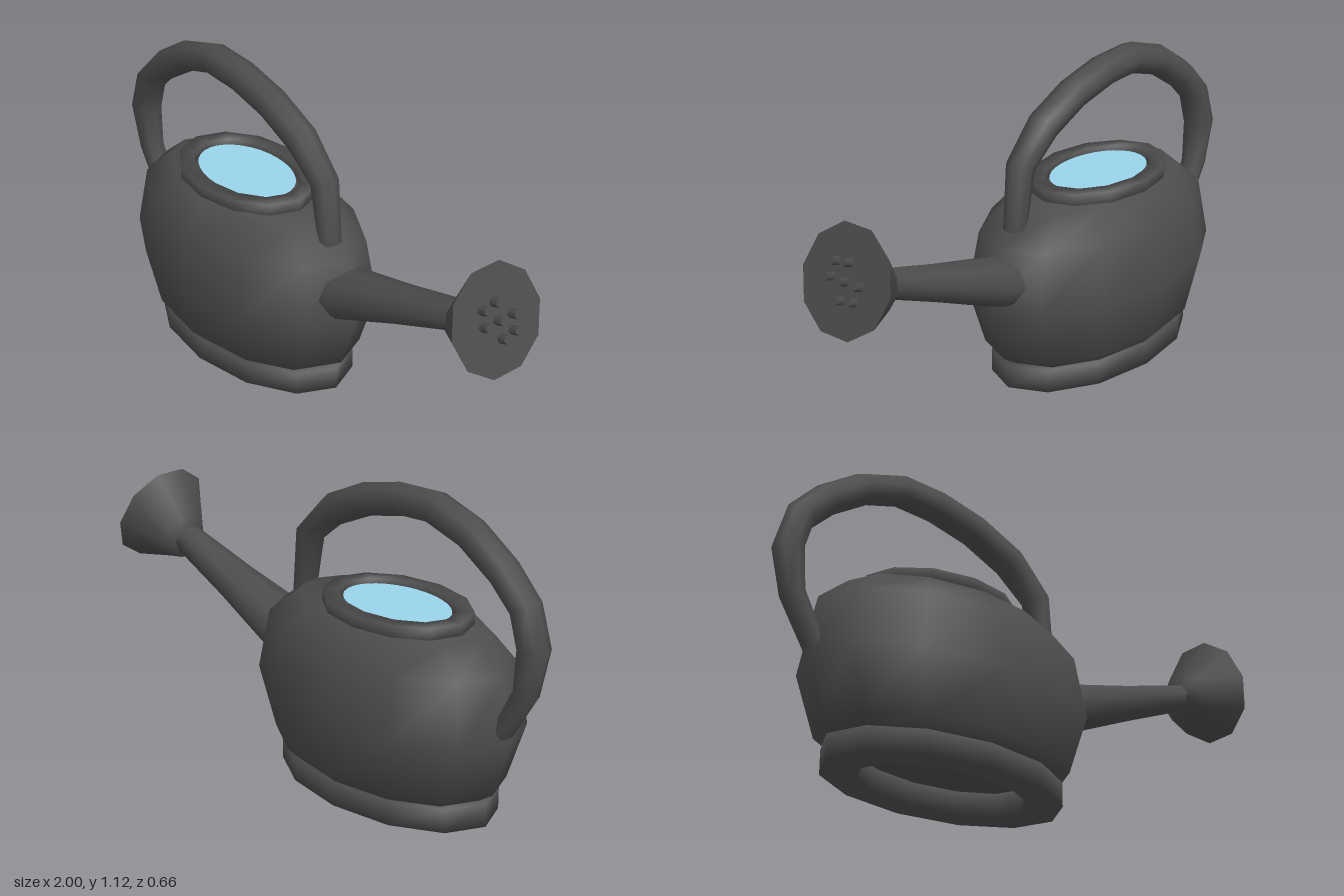
import * as THREE from 'three';
import { toCreasedNormals } from 'three/addons/utils/BufferGeometryUtils.js';

const Z = new THREE.Vector3(0, 0, 1);
const metal = new THREE.MeshStandardMaterial({ color: 0x4c4c4c });
const water = new THREE.MeshStandardMaterial({ color: 0x9ad4ea });

// Skins elliptical rings [x, y, radius across z, radius in the xy plane, tilt of axis].
function loft(rings, sides, { caps = true, crease = 1.2 } = {}) {
  const pos = [], idx = [];
  for (const [x, y, rz, rv, tilt = Math.PI / 2] of rings) {
    const d = new THREE.Vector3(Math.cos(tilt), Math.sin(tilt), 0);
    const v = d.cross(Z);
    for (let j = 0; j < sides; j++) {
      const a = (j / sides) * Math.PI * 2;
      pos.push(x + v.x * rv * Math.sin(a), y + v.y * rv * Math.sin(a), rz * Math.cos(a));
    }
  }
  for (let i = 0; i < rings.length - 1; i++) {
    for (let j = 0; j < sides; j++) {
      const k = (j + 1) % sides, a = i * sides, b = a + sides;
      idx.push(a + j, a + k, b + k, a + j, b + k, b + j);
    }
  }
  if (caps) {
    const e = (rings.length - 1) * sides;
    for (let j = 1; j < sides - 1; j++) idx.push(0, j + 1, j, e, e + j, e + j + 1);
  }
  const g = new THREE.BufferGeometry();
  g.setAttribute('position', new THREE.Float32BufferAttribute(pos, 3));
  g.setIndex(idx);
  return toCreasedNormals(g, crease);
}

// Oval band with a hole, between heights y0 and y1.
const band = (x, y0, y1, rx, rz, ix, iz) => loft([
  [x, y0, rz, rx], [x, y1, rz, rx], [x, y1, iz, ix], [x, y0, iz, ix], [x, y0, rz, rx],
], 12, { caps: false, crease: 1.7 });

export function createModel() {
  const model = new THREE.Group();
  const add = (name, geometry, material = metal, parent = model) => {
    const mesh = new THREE.Mesh(geometry, material);
    mesh.name = name;
    parent.add(mesh);
    return mesh;
  };

  // Oval tank with foot ring and filling rim
  add('body', loft([
    [-0.3, 0.085, 0.25, 0.43], [-0.3, 0.125, 0.29, 0.49], [-0.3, 0.34, 0.33, 0.565],
    [-0.3, 0.56, 0.293, 0.52], [-0.305, 0.655, 0.215, 0.4],
  ], 12));
  add('footRing', band(-0.3, 0, 0.087, 0.465, 0.265, 0.33, 0.175));
  add('fillerRim', band(-0.335, 0.64, 0.697, 0.3, 0.21, 0.24, 0.157));
  const surface = add('water', new THREE.CircleGeometry(1, 32), water);
  surface.rotation.x = -Math.PI / 2;
  surface.scale.set(0.218, 0.142, 1);
  surface.position.set(-0.335, 0.685, 0);

  // Arched handle, thinner where it meets the tank
  const path = [
    [-0.825, 0.37, 0.035], [-0.92, 0.54, 0.045], [-0.945, 0.7, 0.056], [-0.905, 0.83, 0.055],
    [-0.81, 0.925, 0.056], [-0.665, 1.018, 0.057], [-0.505, 1.067, 0.058], [-0.35, 1.058, 0.058],
    [-0.185, 1.018, 0.058], [-0.025, 0.943, 0.058], [0.095, 0.827, 0.051], [0.125, 0.6, 0.037],
  ];
  add('handle', loft(path.map(([x, y, r], i) => {
    const p = path[Math.max(i - 1, 0)], q = path[Math.min(i + 1, path.length - 1)];
    return [x, y, Math.max(r, 0.045), r, Math.atan2(q[1] - p[1], q[0] - p[0])];
  }), 8));

  // Tapering spout
  const tilt = 0.35;
  add('spout', loft([
    [0.12, 0.425, 0.1, 0.08, 0.25], [0.235, 0.442, 0.115, 0.09, 0.25],
    [0.5, 0.535, 0.083, 0.068, tilt], [0.8, 0.64, 0.06, 0.05, tilt],
  ], 8));

  // Sprinkler head with its nozzles
  const head = new THREE.Group();
  head.name = 'sprinklerHead';
  model.add(head);
  add('rose', loft([
    [0.773, 0.608, 0.06, 0.06, tilt], [0.807, 0.632, 0.1, 0.09, tilt],
    [0.935, 0.697, 0.196, 0.192, tilt],
  ], 10), metal, head);
  const spots = [[0, 0], [0, 0.063], [0, -0.063], [0.063, 0], [-0.063, 0], [0.054, 0.054], [-0.054, -0.054]];
  for (const [z, s] of spots) {
    const nozzle = add('nozzle', new THREE.CylinderGeometry(0.016, 0.016, 0.05, 6), metal, head);
    nozzle.rotation.z = tilt - Math.PI / 2;
    nozzle.position.set(0.943 - s * Math.sin(tilt), 0.7 + s * Math.cos(tilt), z);
  }
  return model;
}
